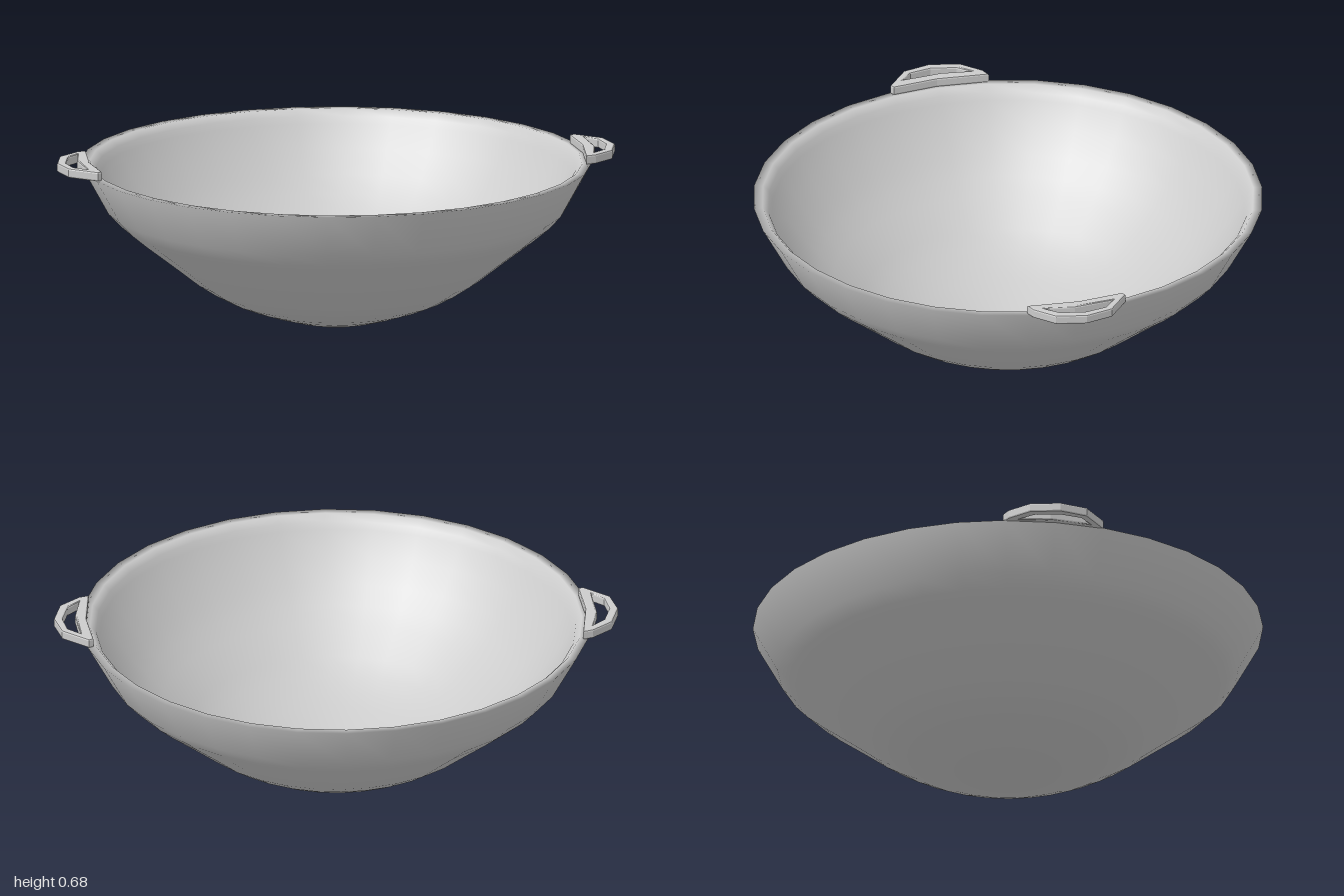
import * as THREE from 'three';

const material = new THREE.MeshStandardMaterial({ color: 0xcccccc });
const points = (list) => list.map(([x, y]) => new THREE.Vector2(x, y));

// Thin round bowl: curved outer wall, wide rolled rim, and a smooth inside
function createBowl() {
  const outer = [
    [0, 0.003], [0.1, 0.004], [0.19, 0.026], [0.28, 0.053], [0.36, 0.08], [0.43, 0.109], [0.5, 0.147],
    [0.57, 0.193], [0.68, 0.28], [0.79, 0.365], [0.85, 0.415], [0.9, 0.468],
  ];
  const rim = [[0.997, 0.645], [0.962, 0.645], [0.938, 0.62]];
  const inner = [
    [0.925, 0.592], [0.87, 0.505], [0.8, 0.415], [0.74, 0.352], [0.68, 0.299], [0.57, 0.21], [0.5, 0.164],
    [0.43, 0.126], [0.36, 0.096], [0.28, 0.068], [0.19, 0.041], [0.1, 0.022], [0, 0.018],
  ];
  const sides = 32;
  const profile = points([...outer, ...rim, ...inner]);
  const bowl = new THREE.Mesh(new THREE.LatheGeometry(profile, sides, Math.PI / sides), material);
  bowl.name = 'bowl';
  return bowl;
}

// Flat five-sided loop lying on the rim, outlined in plan
function createHandle(name, turn) {
  const bevel = 0.007;
  const outline = new THREE.Shape(points([
    [0.295, 0.934], [0.46, 0.868], [0.626, 0.758], [0.63, 0.79], [0.605, 0.888], [0.518, 0.966], [0.412, 0.993], [0.295, 0.945],
  ]));
  outline.holes.push(new THREE.Path(points([
    [0.346, 0.949], [0.417, 0.977], [0.506, 0.949], [0.583, 0.88], [0.606, 0.803], [0.5, 0.881],
  ])));
  const geometry = new THREE.ExtrudeGeometry(outline, {
    depth: 0.024, bevelEnabled: true, bevelSize: bevel, bevelThickness: bevel, bevelSegments: 2,
  });
  geometry.rotateX(-Math.PI / 2).translate(0, 0.65, 0);
  const handle = new THREE.Mesh(geometry, material);
  handle.name = name;
  handle.rotation.y = turn;
  return handle;
}

export function createModel() {
  const group = new THREE.Group();
  group.name = 'wok';
  group.add(createBowl(), createHandle('backHandle', 0), createHandle('frontHandle', Math.PI));
  return group;
}
